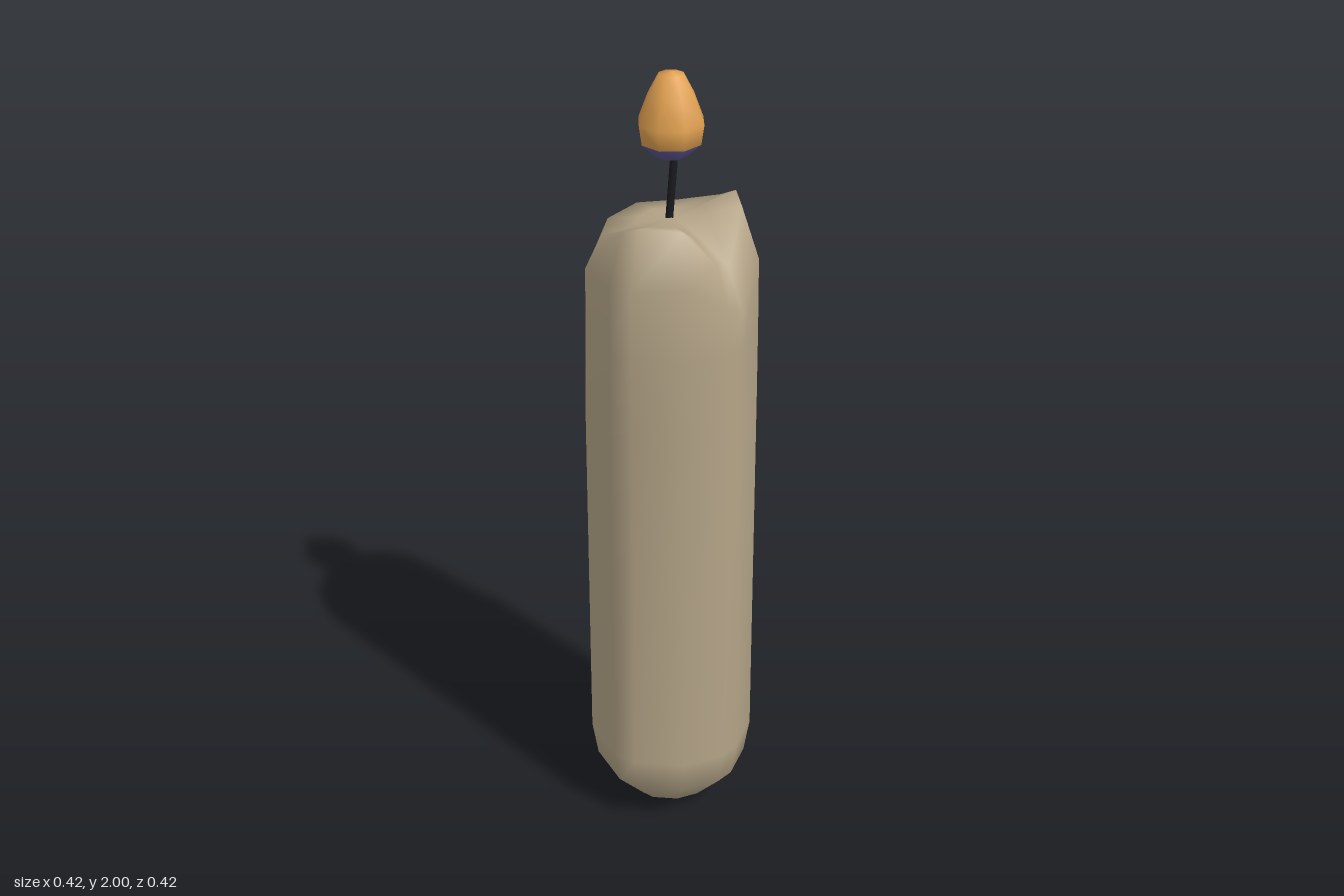
import * as THREE from 'three';

// Wax columns: angle in degrees (from +x towards +z), radius, rim height, shoulder height, dent scale
const COLUMNS = [
  [8, 0.21, 1.69, 1.56, 1],
  [39, 0.213, 1.575, 1.47, 1],
  [53, 0.214, 1.59, 1.5, 1],
  [83, 0.211, 1.685, 1.56, 1],
  [117, 0.217, 1.69, 1.55, 1],
  [134, 0.215, 1.67, 1.55, 1],
  [172, 0.212, 1.62, 1.54, 0.98],
  [208, 0.215, 1.62, 1.54, 0.96],
  [242, 0.215, 1.63, 1.52, 0.96],
  [276, 0.211, 1.63, 1.54, 0.98],
  [315, 0.218, 1.66, 1.55, 0.87],
  [335, 0.218, 1.69, 1.56, 0.95],
];

// Rows of the wax skin, from the underside up and over the rim: [radius, height]
function waxRows([, r, rim, shoulder, dent]) {
  return [
    [r * 0.52, 0.025],
    [r * 0.93, 0.125],
    [r, 0.22],
    [r * 0.985, 1.18],
    [r * 0.98 * dent, 1.38],
    [r * 0.97 * dent, shoulder],
    [r * 0.77, rim],
    [r * 0.4, 1.65 + (rim - 1.65) * 0.35],
  ];
}

function waxGeometry() {
  const n = COLUMNS.length;
  const grid = COLUMNS.map(waxRows);
  const rows = grid[0].length;
  const position = [0, 0, 0];
  for (let j = 0; j < rows; j++) {
    for (let i = 0; i < n; i++) {
      const a = THREE.MathUtils.degToRad(COLUMNS[i][0]);
      const [r, y] = grid[i][j];
      position.push(Math.cos(a) * r, y, Math.sin(a) * r);
    }
  }
  position.push(0, 1.655, 0);
  const top = rows * n + 1;
  const id = (j, i) => 1 + j * n + (i % n);
  const index = [];
  for (let i = 0; i < n; i++) {
    index.push(0, id(0, i), id(0, i + 1));
    for (let j = 0; j < rows - 1; j++) {
      const a = id(j, i), b = id(j + 1, i), c = id(j + 1, i + 1), d = id(j, i + 1);
      index.push(a, b, d, b, c, d);
    }
    index.push(id(rows - 1, i), top, id(rows - 1, i + 1));
  }
  const g = new THREE.BufferGeometry();
  g.setAttribute('position', new THREE.Float32BufferAttribute(position, 3));
  g.setIndex(index);
  g.computeVertexNormals();
  return g;
}

// Eight-sided flame; the lower band and the upper part share one smooth skin
function flameGeometry(isBase) {
  const profile = [
    [0, 1.8], [0.036, 1.804], [0.072, 1.838], [0.079, 1.885], [0.056, 1.945], [0.03, 1.994], [0, 2],
  ].map(([x, y]) => new THREE.Vector2(x, y));
  const g = new THREE.LatheGeometry(profile, 8, Math.PI / 8);
  const all = g.index.array;
  const kept = [];
  for (let k = 0; k < all.length; k += 3) {
    const tri = [all[k], all[k + 1], all[k + 2]];
    const row = Math.min(...tri.map((v) => v % profile.length));
    if ((row < 2) === isBase) kept.push(...tri);
  }
  g.setIndex(kept);
  return g;
}

export function createModel() {
  const model = new THREE.Group();
  model.name = 'candle';
  const add = (name, geometry, color) => {
    const mesh = new THREE.Mesh(geometry, new THREE.MeshStandardMaterial({ color }));
    mesh.name = name;
    model.add(mesh);
  };

  add('waxBody', waxGeometry(), 0xb5a588);

  // Slightly leaning wick
  const wickPath = new THREE.LineCurve3(new THREE.Vector3(-0.006, 1.63, 0), new THREE.Vector3(0.008, 1.82, 0));
  add('wick', new THREE.TubeGeometry(wickPath, 1, 0.01, 6), 0x1a1a20);

  add('flameBase', flameGeometry(true), 0x5a5590);
  add('flame', flameGeometry(false), 0xe0a050);
  return model;
}
